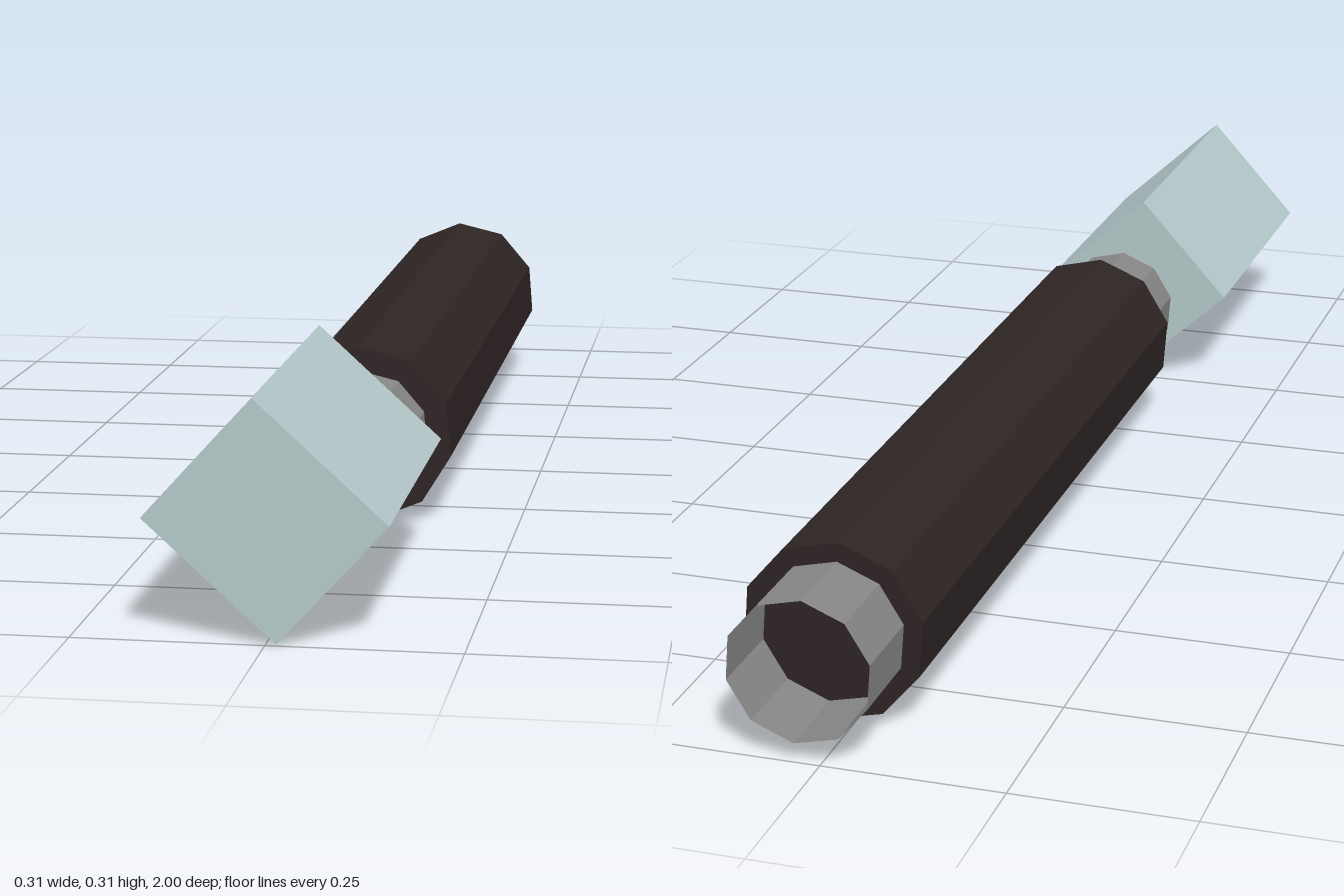
import * as THREE from 'three';

const RAD = Math.PI / 180;

function material(name, color, side = THREE.FrontSide) {
  const m = new THREE.MeshStandardMaterial({ color, flatShading: true, side });
  m.name = name;
  return m;
}

export function createModel() {
  const model = new THREE.Group();
  model.name = 'handledTool';
  const paleSteel = material('pale steel', 0xb4c8ca);
  const grey = material('grey metal', 0x868686, THREE.DoubleSide);
  const dark = material('dark grip', 0x2e2424);

  // Ten-sided rods lying along z on a shared axis
  function rod(name, radius, z0, z1, mat, open = false) {
    const geo = new THREE.CylinderGeometry(radius, radius, z1 - z0, 10, 1, open, 4.5 * RAD);
    geo.rotateX(Math.PI / 2);
    const mesh = new THREE.Mesh(geo, mat);
    mesh.name = name;
    mesh.position.set(0.027, 0.13, (z0 + z1) / 2);
    model.add(mesh);
  }
  rod('grip', 0.128, -0.873, 0.347, dark);
  rod('neck', 0.093, 0.347, 0.498, grey);
  rod('rearSocket', 0.101, -1, -0.873, grey, true);

  // Hollow head, tilted, open on its lower +x side
  const head = new THREE.Group();
  head.name = 'head';
  head.position.set(0, 0.16, 0.75);
  head.rotation.z = -42.4 * RAD;
  model.add(head);
  const w = 0.231, h = 0.211, len = 0.504, t = 0.007;
  function plate(name, size, pos) {
    const mesh = new THREE.Mesh(new THREE.BoxGeometry(...size), paleSteel);
    mesh.name = name;
    mesh.position.set(...pos);
    head.add(mesh);
  }
  plate('headFloor', [t, h, len], [-(w - t) / 2, 0, -0.002]);
  for (const s of [-1, 1]) {
    plate(s > 0 ? 'headUpperWall' : 'headLowerWall',
      [w - t, t, len], [t / 2, s * (h - t) / 2, -0.002]);
    plate(s > 0 ? 'headFrontWall' : 'headBackWall',
      [w - t, h - 2 * t, t], [t / 2, 0, s * (len - t) / 2 - 0.002]);
  }
  return model;
}
